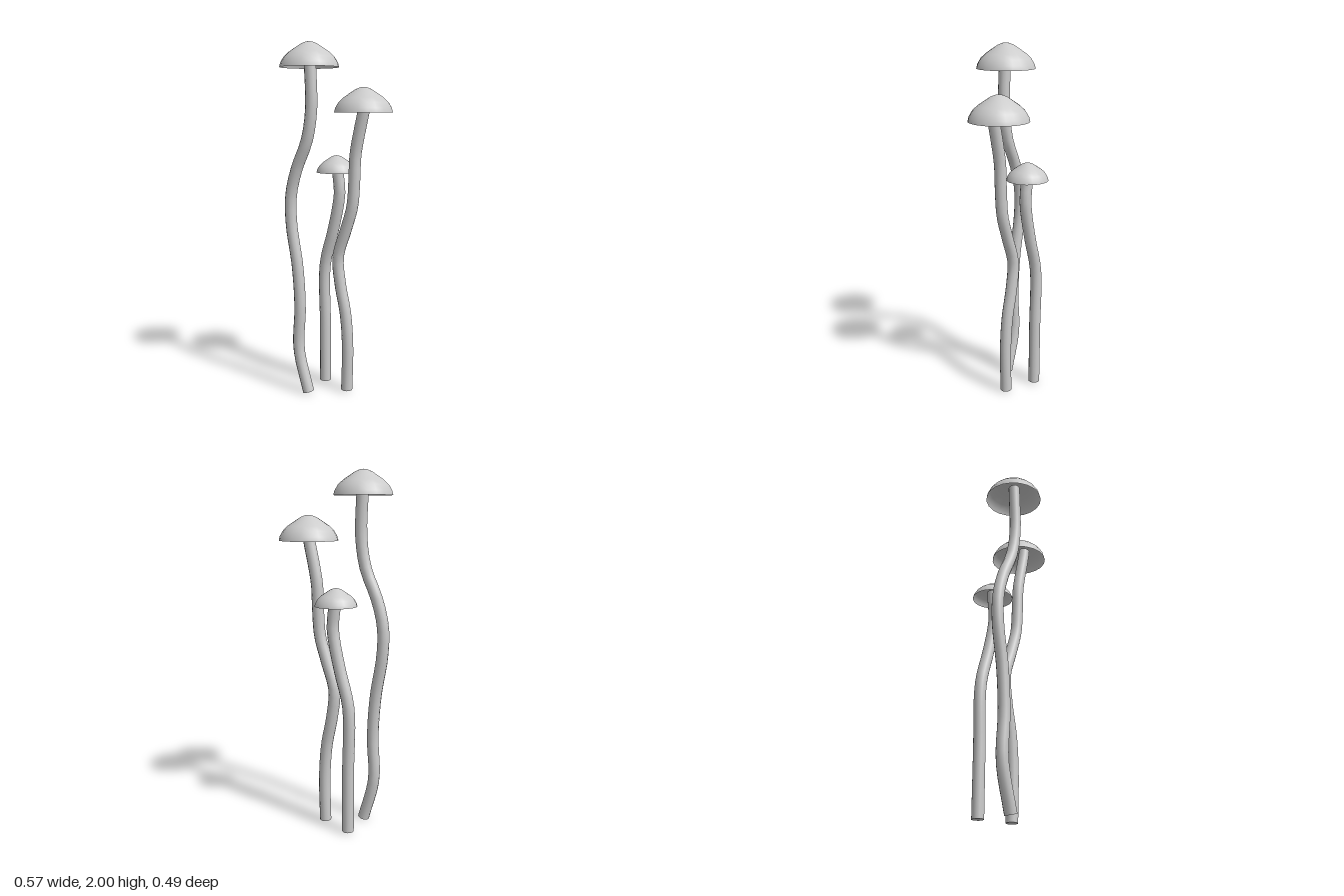
import * as THREE from 'three';

const material = new THREE.MeshStandardMaterial({ color: 0xcccccc, side: THREE.DoubleSide });
const STEM_RADIUS = 0.033;

// Hollow cap: profile running from rim to pointed crown, rim radius 0.162
const capProfile = [
  [0.162, -0.137], [0.156, -0.113], [0.138, -0.083], [0.112, -0.058],
  [0.08, -0.036], [0.045, -0.013], [0.02, -0.003], [0, 0],
].map(([r, y]) => new THREE.Vector2(r, y));

// Stems bend only in x, so each path is a list of [x, y] at a fixed z
const mushrooms = [
  {
    name: 'tallMushroom', z: 0.085, cap: [-0.122, 2.0, 0.083], scale: 1,
    path: [[-0.14, 0.01], [-0.205, 0.26], [-0.195, 0.51], [-0.21, 0.75], [-0.25, 1.0], [-0.25, 1.16],
      [-0.21, 1.31], [-0.14, 1.47], [-0.11, 1.64], [-0.115, 1.86], [-0.12, 1.95]],
  },
  {
    name: 'middleMushroom', z: -0.058, cap: [0.123, 1.76, -0.082], scale: 1,
    path: [[0.035, 0.01], [0.04, 0.28], [0.025, 0.47], [-0.01, 0.64], [-0.025, 0.8], [0.025, 0.96],
      [0.068, 1.1], [0.08, 1.24], [0.087, 1.39], [0.11, 1.51], [0.135, 1.62], [0.147, 1.69]],
  },
  {
    name: 'shortMushroom', z: -0.12, cap: [-0.072, 1.38, -0.117], scale: 0.71,
    path: [[-0.153, 0.01], [-0.153, 0.37], [-0.153, 0.73], [-0.1, 0.93], [-0.065, 1.08],
      [-0.053, 1.17], [-0.065, 1.28], [-0.068, 1.33]],
  },
];

function addMesh(group, name, geometry) {
  const mesh = new THREE.Mesh(geometry, material);
  mesh.name = name;
  group.add(mesh);
  return mesh;
}

function createMushroom({ name, z, cap, scale, path }) {
  const group = new THREE.Group();
  group.name = name;

  // Bent stem
  const curve = new THREE.CatmullRomCurve3(path.map(([x, y]) => new THREE.Vector3(x, y, z)));
  addMesh(group, 'stem', new THREE.TubeGeometry(curve, path.length * 3, STEM_RADIUS, 12));

  // Discs closing both stem ends, facing outwards along the stem
  for (const [t, sign] of [[0, -1], [1, 1]]) {
    const end = addMesh(group, 'stemEnd', new THREE.CircleGeometry(STEM_RADIUS, 12));
    end.position.copy(curve.getPoint(t));
    end.lookAt(end.position.clone().addScaledVector(curve.getTangent(t), sign));
  }

  // Cap
  const capMesh = addMesh(group, 'cap', new THREE.LatheGeometry(capProfile, 20));
  capMesh.position.set(...cap);
  capMesh.scale.setScalar(scale);
  return group;
}

export function createModel() {
  const model = new THREE.Group();
  model.name = 'mushroomCluster';
  for (const spec of mushrooms) model.add(createMushroom(spec));
  return model;
}
